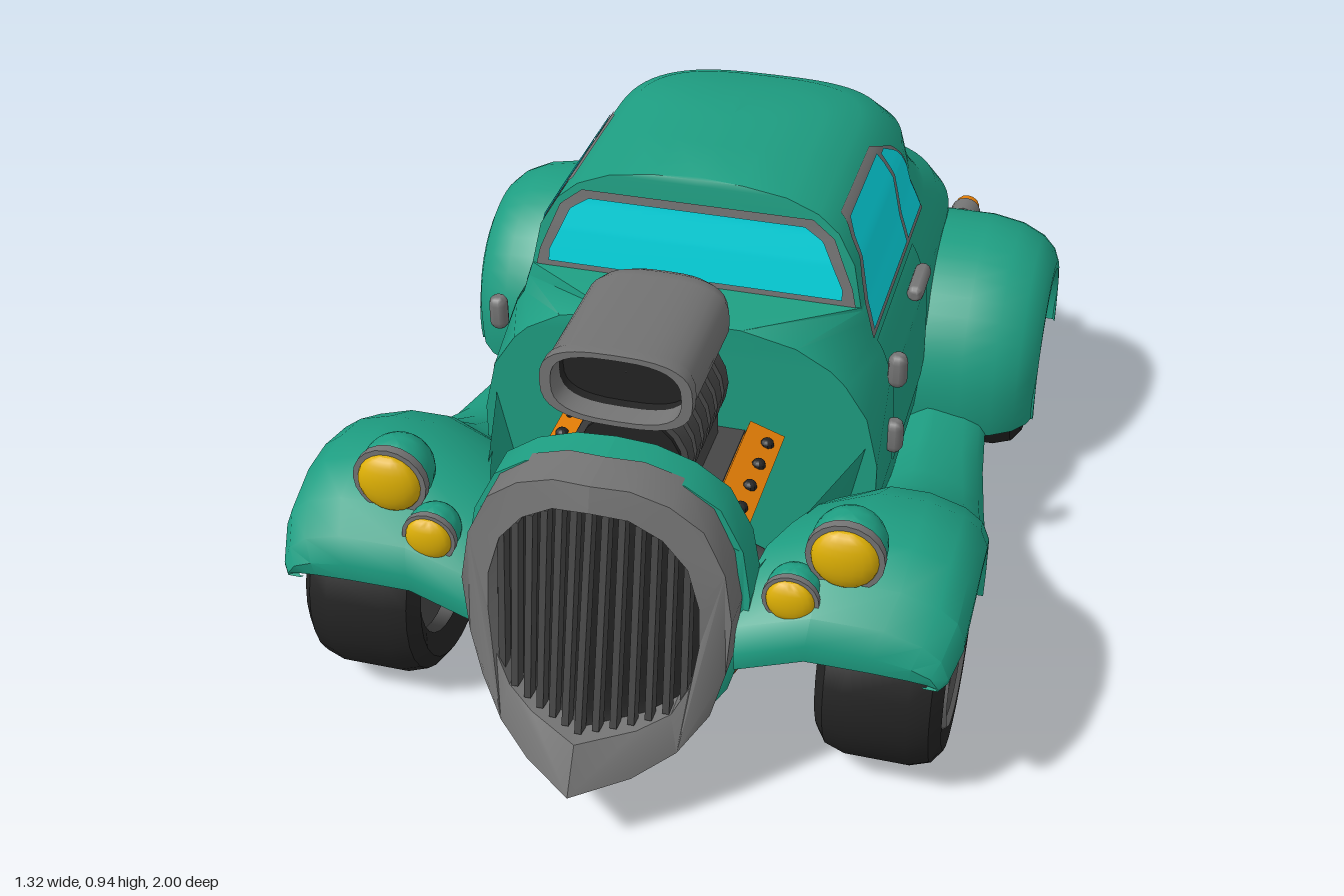
import * as THREE from 'three';
import { toCreasedNormals } from 'three/addons/utils/BufferGeometryUtils.js';

const V = (x, y, z) => new THREE.Vector3(x, y, z);
const material = (name, color, two) => {
  const m = new THREE.MeshStandardMaterial({ color });
  m.name = name;
  if (two) m.side = THREE.DoubleSide;
  return m;
};
const green = material('body green', 0x1e9e82, true), glass = material('glass', 0x04dae4, true);
const grey = material('metal grey', 0x747474, true), steel = material('dark steel', 0x464646, true);
const black = material('rubber black', 0x232323, true), orange = material('orange', 0xde7a06);
const yellow = material('lamp yellow', 0xdeb004), brown = material('frame brown', 0x7a4c2e);

function add(parent, name, geo, mat, pos = [0, 0, 0], crease = 0.6) {
  const m = new THREE.Mesh(toCreasedNormals(geo, crease), mat);
  m.name = name;
  m.position.set(...pos);
  parent.add(m);
  return m;
}
// skin over rows of points
function loft(rows) {
  const n = rows[0].length, idx = [];
  for (let i = 0; i < rows.length - 1; i++) for (let j = 0; j < n - 1; j++) {
    const a = i * n + j, b = a + 1, c = a + n, d = c + 1;
    idx.push(a, b, d, a, d, c);
  }
  const g = new THREE.BufferGeometry().setFromPoints(rows.flat());
  g.setIndex(idx);
  g.computeVertexNormals();
  return g;
}
const box = (p, name, mat, size, pos) => add(p, name, new THREE.BoxGeometry(...size), mat, pos);
const disc = (p, name, mat, r, len, pos, seg = 20) =>
  add(p, name, new THREE.CylinderGeometry(r, r, len, seg).rotateX(Math.PI / 2), mat, pos);
// bar or rod running from a to b
function between(p, name, mat, a, b, make) {
  const m = add(p, name, make(a.distanceTo(b)), mat, a.clone().lerp(b, 0.5).toArray());
  m.lookAt(b);
  return m;
}
const beam = (p, name, mat, a, b, w, h) => between(p, name, mat, a, b, l => new THREE.BoxGeometry(w, h, l + w * 0.4));
const rod = (p, name, mat, a, b, r) =>
  between(p, name, mat, a, b, l => new THREE.CylinderGeometry(r, r, l, 14).rotateX(Math.PI / 2));

// linear lookup in rows sorted by first column
function lookup(rows, t) {
  let i = 0;
  while (i < rows.length - 2 && t > rows[i + 1][0]) i++;
  const a = rows[i], b = rows[i + 1], k = Math.min(1, Math.max(0, (t - a[0]) / (b[0] - a[0])));
  return a.map((v, j) => v + (b[j] - v) * k);
}

// cabin levels: y, front z, half width, start of rear curve, rear z, half width at the front
const levels = [
  [0.149, 0.25, 0, -0.5, -0.86, 0], [0.15, 0.25, 0.36, -0.5, -0.86, 0.36], [0.22, 0.25, 0.4, -0.5, -0.93, 0.4],
  [0.32, 0.25, 0.41, -0.5, -0.95, 0.41], [0.43, 0.25, 0.41, -0.5, -0.94, 0.41], [0.54, 0.25, 0.405, -0.5, -0.88, 0.385],
  [0.61, 0.25, 0.38, -0.45, -0.81, 0.34], [0.64, 0.25, 0.362, -0.4, -0.73, 0.31], [0.68, 0.25, 0.35, -0.35, -0.69, 0.24],
  [0.705, 0.25, 0.342, -0.32, -0.675, 0.13], [0.712, 0.12, 0.34, -0.3, -0.67, 0.34], [0.8, 0.11, 0.322, -0.3, -0.63, 0.322],
  [0.86, 0.1, 0.287, -0.28, -0.55, 0.287], [0.895, 0.096, 0.245, -0.25, -0.47, 0.245], [0.92, 0.092, 0.18, -0.2, -0.36, 0.18],
  [0.933, 0.09, 0.09, -0.15, -0.26, 0.09], [0.937, 0.085, 0, -0.1, -0.2, 0]];
const POW = 3;
const curve = t => Math.pow(Math.max(0, 1 - Math.pow(Math.min(1, Math.max(0, t)), POW)), 1 / POW);
function outline([y, zf, w, zs, zb, wf]) {
  const half = [V(0, y, zf), V(wf, y, zf), V(w, y, Math.min(zf, 0.12)), V(w, y, zs / 2)];
  for (let i = 0; i <= 16; i++) {
    const a = (i / 16) * Math.PI / 2;
    half.push(V(w * Math.pow(Math.cos(a), 2 / POW), y, zs - (zs - zb) * Math.pow(Math.sin(a), 2 / POW)));
  }
  return half.concat(half.slice(0, -1).reverse().map(p => V(-p.x, p.y, p.z)));
}
// points lying on the cabin side, back and front, raised by o
const onSide = o => (z, y) => {
  const [, , w, zs, zb] = lookup(levels, y);
  return V(w * curve((zs - z) / (zs - zb)) + o, y, z);
};
const onBack = o => (x, y) => {
  const [, , w, zs, zb] = lookup(levels, y);
  return V(x, y + o * 0.4, zs - (zs - zb) * curve(Math.abs(x) / w) - o);
};
const onFront = o => (x, y) => V(x, y, lookup(levels, y)[1] + o);
// thin panel hugging the cabin; rows are y, start, end
function patch(p, name, mat, rows, f) {
  const grid = [], n = 24;
  for (let i = 0; i <= n; i++) {
    const [y, a, b] = lookup(rows, rows[0][0] + (rows.at(-1)[0] - rows[0][0]) * i / n);
    grid.push(Array.from({ length: 15 }, (_, j) => f(a + (b - a) * j / 14, y)));
  }
  return add(p, name, loft(grid), mat);
}

// fender sections: z, outer x, top y, lower edge y, inner x
const fenderRows = [
  [0.765, 0.62, 0.36, 0.35, 0.25], [0.77, 0.625, 0.4, 0.35, 0.25], [0.75, 0.64, 0.45, 0.355, 0.25], [0.69, 0.657, 0.495, 0.385, 0.25],
  [0.6, 0.66, 0.525, 0.42, 0.27], [0.52, 0.66, 0.525, 0.43, 0.3], [0.43, 0.658, 0.505, 0.41, 0.33],
  [0.35, 0.652, 0.465, 0.35, 0.35], [0.3, 0.648, 0.425, 0.25, 0.36], [0.27, 0.644, 0.395, 0.165, 0.36],
  [0.2, 0.635, 0.34, 0.155, 0.36], [0.1, 0.62, 0.285, 0.15, 0.36], [0, 0.605, 0.25, 0.15, 0.36],
  [-0.15, 0.58, 0.225, 0.15, 0.36], [-0.32, 0.56, 0.215, 0.15, 0.36]];
function fenderSection([z, xo, top, low, xi]) {
  const d = Math.min(0.1, top - low);
  return [V(xi, top - 0.05, z), V(xi + (xo - xi) * 0.35, top, z), V(xo - 0.12, top, z), V(xo - 0.05, top - d * 0.22, z),
    V(xo - 0.015, top - d * 0.5, z), V(xo, top - d * 0.9, z), V(xo, low, z), V(xo - 0.025, low, z)];
}

// grille outlines (right half) and its raked front: y, ridge z, sweep back per x
const outer = [[0, 0.71], [0.07, 0.705], [0.14, 0.68], [0.2, 0.635], [0.24, 0.55], [0.255, 0.45], [0.245, 0.33], [0.22, 0.24], [0.17, 0.18], [0.1, 0.152], [0, 0.145]];
const inner = [[0, 0.66], [0.07, 0.65], [0.13, 0.615], [0.175, 0.56], [0.198, 0.48], [0.2, 0.4], [0.185, 0.31], [0.155, 0.255], [0.1, 0.235], [0, 0.23]];
const ridge = [[0.15, 0.998, 0.7], [0.2, 0.975, 0.65], [0.25, 0.93, 0.5], [0.45, 0.87, 0.27], [0.71, 0.805, 0.15]];
function noseZ(x, y) {
  const [, z, k] = lookup(ridge, y);
  return z - k * Math.abs(x);
}
function noseRing(p, name, mat, pts, move) {
  const shape = new THREE.Shape(pts.concat([...inner].reverse()).map(q => new THREE.Vector2(...q)));
  const g = new THREE.ExtrudeGeometry(shape, { depth: 1, bevelEnabled: false });
  const a = g.attributes.position;
  for (let i = 0; i < a.count; i++) a.setZ(i, move(a.getX(i), a.getY(i), a.getZ(i)));
  add(p, name, g, mat);
}

function wheel(p, z) {
  const g = new THREE.Group();
  g.name = 'wheel';
  const lathe = (name, mat, pts) => add(g, name, new THREE.LatheGeometry(pts.map(q => new THREE.Vector2(...q)), 28), mat);
  lathe('tire', black, [[0.14, -0.1], [0.185, -0.12], [0.212, -0.1], [0.225, -0.06], [0.225, 0.06], [0.212, 0.1], [0.185, 0.12], [0.14, 0.11]]);
  lathe('rim', steel, [[0, -0.07], [0.14, -0.07], [0.145, 0.11], [0.135, 0.118], [0.12, 0.105], [0.112, 0.07], [0, 0.07]]);
  lathe('rimEdge', grey, [[0.147, 0.112], [0.14, 0.122], [0.124, 0.114]]);
  lathe('hub', grey, [[0.105, 0.07], [0.095, 0.088], [0.035, 0.09], [0.03, 0.105], [0, 0.108]]);
  for (let i = 0; i < 5; i++) {
    const a = i * Math.PI * 0.4;
    add(g, 'lugNut', new THREE.CylinderGeometry(0.013, 0.013, 0.02, 8), steel, [Math.cos(a) * 0.062, 0.092, Math.sin(a) * 0.062]);
  }
  g.rotation.z = -Math.PI / 2;
  g.position.set(0.51, 0.225, z);
  p.add(g);
}
function lamp(p, name, x, y, z, r) {
  add(p, name + 'Shell', new THREE.SphereGeometry(r * 0.96, 20, 14), green, [x, y, z]);
  disc(p, name + 'Rim', grey, r, r * 0.25, [x, y, z + r * 0.5]);
  add(p, name + 'Lens', new THREE.SphereGeometry(r * 0.86, 20, 12).scale(1, 1, 0.45), yellow, [x, y, z + r * 0.6]);
  rod(p, name + 'Stalk', grey, V(x, y, z), V(x + 0.01, y - r * 1.3, z - 0.02), r * 0.25);
}

function buildSide(s) {
  add(s, 'frontFender', loft(fenderRows.map(fenderSection)), green);
  // rear fender swept round the wheel
  const arch = [];
  for (let i = 0; i <= 24; i++) {
    const a = (-16 + 204 * i / 24) * Math.PI / 180, R = 0.278 + 0.034 * Math.max(0, Math.sin(a));
    arch.push([[0.34, R], [0.5, R], [0.57, R - 0.012], [0.62, R - 0.035], [0.648, R - 0.062], [0.66, R - 0.09], [0.66, 0.2], [0.63, 0.2]]
      .map(([x, r]) => V(x, 0.225 + r * Math.sin(a), -0.556 + r * Math.cos(a))));
  }
  add(s, 'rearFender', loft(arch), green);
  add(s, 'engineBaySide', loft([[[0.27, 0.15], [0.35, 0.3], [0.385, 0.47]].map(q => V(...q, 0.25)),
    [[0.19, 0.17], [0.25, 0.3], [0.262, 0.47]].map(q => V(...q, 0.68))]), green);
  wheel(s, 0.52);
  wheel(s, -0.556);
  for (const z of [0.52, -0.556]) rod(s, 'axle', steel, V(0.1, 0.25, z), V(0.46, 0.25, z), 0.035);
  lamp(s, 'headlight', 0.433, 0.55, 0.645, 0.073);
  lamp(s, 'foglight', 0.345, 0.468, 0.7, 0.053);
  // side windows, door and its fittings
  patch(s, 'sideWindowFrame', grey, [[0.637, 0.108, -0.44], [0.76, 0.088, -0.41], [0.83, 0.066, -0.345], [0.872, 0.035, -0.25]], onSide(0.003));
  patch(s, 'frontSideGlass', glass, [[0.65, 0.095, -0.262], [0.8, 0.068, -0.262], [0.835, 0.052, -0.256], [0.86, 0.025, -0.245]], onSide(0.006));
  patch(s, 'rearSideGlass', glass, [[0.65, -0.276, -0.427], [0.76, -0.276, -0.396], [0.82, -0.272, -0.345], [0.85, -0.265, -0.29]], onSide(0.006));
  patch(s, 'door', green, [[0.32, 0.07, -0.26], [0.345, 0.1, -0.29], [0.63, 0.1, -0.29]], onSide(0.004));
  const handle = add(s, 'doorHandle', new THREE.CapsuleGeometry(0.018, 0.09, 4, 10), grey, [0.406, 0.595, -0.195], 1);
  handle.rotation.x = Math.PI / 2;
  for (const y of [0.42, 0.58]) add(s, 'doorHinge', new THREE.CapsuleGeometry(0.02, 0.04, 4, 10), grey, [0.42, y, 0.12], 1);
  // tail lights
  for (const [y, z] of [[0.46, -0.745], [0.385, -0.8]]) {
    disc(s, 'tailLightBase', grey, 0.034, 0.05, [0.425, y, z + 0.01], 14);
    disc(s, 'tailLight', orange, 0.028, 0.035, [0.425, y, z - 0.022], 14);
  }
  // rear bumper, exhaust and frame rail
  const bumper = [V(0, 0.25, -0.97), V(0.2, 0.25, -0.962), V(0.32, 0.255, -0.93), V(0.385, 0.265, -0.86)];
  for (let i = 0; i < 3; i++) beam(s, 'rearBumper', grey, bumper[i], bumper[i + 1], 0.032, 0.07);
  box(s, 'bumperGuard', grey, [0.05, 0.1, 0.05], [0.29, 0.255, -0.942]);
  rod(s, 'exhaustPipe', steel, V(0.1, 0.13, 0.3), V(0.1, 0.13, -0.55), 0.045);
  rod(s, 'tailPipe', steel, V(0.2, 0.14, -0.68), V(0.295, 0.165, -0.93), 0.028);
  rod(s, 'exhaustTip', black, V(0.285, 0.165, -0.91), V(0.315, 0.17, -0.985), 0.048);
  const rail = [V(0.14, 0.125, 0.66), V(0.2, 0.125, 0.45), V(0.325, 0.125, 0.15), V(0.325, 0.125, -0.42), V(0.2, 0.125, -0.75)];
  for (let i = 0; i < 4; i++) beam(s, 'frameRail', brown, rail[i], rail[i + 1], 0.05, 0.055);
  // valve cover and headers
  const cover = box(s, 'valveCover', orange, [0.075, 0.06, 0.3], [0.18, 0.465, 0.415]);
  cover.rotation.z = -0.35;
  for (let i = 0; i < 4; i++) add(s, 'coverBolt', new THREE.SphereGeometry(0.014, 10, 8), black, [0.2, 0.489, 0.31 + i * 0.07]);
  rod(s, 'header', steel, V(0.16, 0.4, 0.53), V(0.25, 0.36, 0.53), 0.035);
  // nose halves
  noseRing(s, 'grilleSurround', grey, outer, (x, y, t) => noseZ(x, y) - (1 - t) * 0.09);
  noseRing(s, 'radiatorShell', green, outer.map(([x, y]) => [x * 1.06, y * 0.99 + 0.003]),
    (x, y, t) => t ? noseZ(x, y) - 0.07 : 0.645);
  add(s, 'grilleBacking', loft(inner.map(([x, y]) => [0, x].map(v => V(v, y, noseZ(v, y) - 0.05)))), black);
}

export function createModel() {
  const car = new THREE.Group();
  car.name = 'hotRod';
  add(car, 'cabin', loft(levels.map(outline)), green, [0, 0, 0], 1.1);
  const left = new THREE.Group();
  buildSide(left);
  const right = left.clone();
  left.name = 'leftSide';
  right.name = 'rightSide';
  right.scale.x = -1;
  car.add(left, right);

  // windshield, rear window and trunk lid
  patch(car, 'windshieldFrame', grey, [[0.713, -0.33, 0.33], [0.75, -0.322, 0.322], [0.85, -0.28, 0.28], [0.885, -0.235, 0.235]], onFront(0.004));
  patch(car, 'windshield', glass, [[0.726, -0.303, 0.303], [0.75, -0.302, 0.302], [0.845, -0.258, 0.258], [0.87, -0.22, 0.22]], onFront(0.008));
  patch(car, 'rearWindowFrame', grey, [[0.698, -0.17, 0.17], [0.712, -0.19, 0.19], [0.78, -0.18, 0.18], [0.802, -0.155, 0.155]], onBack(0.004));
  patch(car, 'rearWindow', glass, [[0.709, -0.16, 0.16], [0.72, -0.175, 0.175], [0.775, -0.165, 0.165], [0.79, -0.148, 0.148]], onBack(0.008));
  patch(car, 'trunkLid', green, [[0.35, -0.18, 0.18], [0.375, -0.215, 0.215], [0.59, -0.215, 0.215], [0.615, -0.19, 0.19]], onBack(0.007));
  for (const x of [-0.105, 0.105]) box(car, 'trunkHinge', grey, [0.065, 0.028, 0.035], [x, 0.622, -0.795]);
  box(car, 'trunkHandle', grey, [0.1, 0.03, 0.03], [0, 0.42, -0.955]);

  // grille bars following the pointed nose
  for (let i = -6; i <= 6; i++) {
    const x = i * 0.029, k = Math.abs(x) / 0.2;
    const top = 0.655 - 0.12 * k * k, low = 0.235 + 0.05 * k * k * k;
    beam(car, 'grilleBar', steel, V(x, low, noseZ(x, Math.max(low, 0.25)) - 0.02), V(x, top, noseZ(x, top) - 0.02), 0.013, 0.03);
  }

  // engine, ribbed blower and pulley
  box(car, 'engineBlock', steel, [0.28, 0.36, 0.34], [0, 0.29, 0.42]);
  box(car, 'oilPan', steel, [0.26, 0.07, 0.3], [0, 0.118, 0.5]);
  box(car, 'manifold', steel, [0.18, 0.09, 0.3], [0, 0.5, 0.42]);
  disc(car, 'blower', black, 0.1, 0.3, [0, 0.6, 0.42]);
  for (let i = 0; i < 6; i++) disc(car, 'blowerRib', steel, 0.113, 0.034, [0, 0.6, 0.295 + i * 0.05]);
  disc(car, 'pulley', orange, 0.04, 0.04, [0, 0.61, 0.595]);
  box(car, 'scoopNeck', grey, [0.16, 0.07, 0.1], [0, 0.72, 0.39]);

  // air scoop
  const ring = (z, s) => Array.from({ length: 33 }, (_, i) => {
    const a = i / 32 * Math.PI * 2, p = v => Math.sign(v) * Math.pow(Math.abs(v), 0.7);
    return V(0.138 * s * p(Math.cos(a)), 0.803 + 0.074 * s * p(Math.sin(a)), z);
  });
  add(car, 'airScoop', loft([[0.297, 0.01], [0.3, 0.5], [0.315, 0.75], [0.34, 0.92], [0.37, 1], [0.61, 1], [0.62, 1.03], [0.645, 1.03], [0.645, 0.88], [0.6, 0.86]].map(q => ring(...q))), grey);
  add(car, 'scoopOpening', loft([ring(0.644, 0.88), ring(0.58, 0.86), ring(0.58, 0.01)]), black);

  // underside: floor plate, gearbox, rear tank and frame cross member
  box(car, 'floorPlate', black, [0.56, 0.02, 0.72], [0, 0.145, -0.12]);
  rod(car, 'gearbox', steel, V(0, 0.165, 0.34), V(0, 0.165, -0.1), 0.07);
  box(car, 'rearTank', black, [0.38, 0.08, 0.24], [0, 0.128, -0.61]);
  box(car, 'frameCrossMember', brown, [0.42, 0.05, 0.05], [0, 0.125, -0.755]);
  return car;
}
